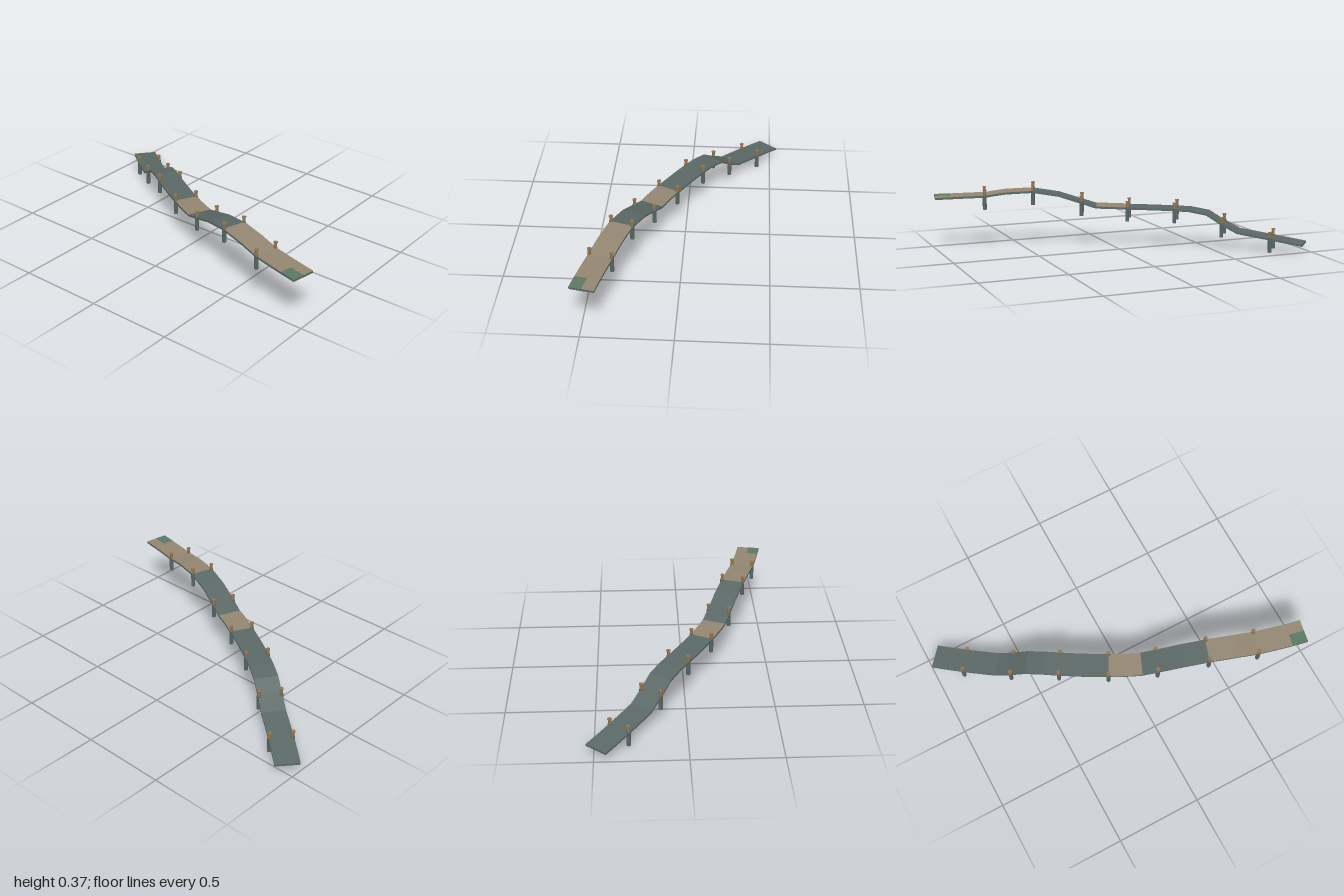
import * as THREE from 'three';

const material = (name, color) => {
  const m = new THREE.MeshStandardMaterial({ color });
  m.name = name;
  return m;
};

const HALF = 0.069; // half the deck width
const START = 0.985, END = -0.957;

// Deck height along the walkway: [z, y of the top]
const heights = [
  [START, 0.312], [0.70, 0.318], [0.58, 0.335], [0.425, 0.342], [0.28, 0.318],
  [0.072, 0.247], [-0.1, 0.243], [-0.345, 0.24], [-0.42, 0.237],
  [-0.505, 0.22], [-0.58, 0.165], [-0.655, 0.118], [END, 0.063],
];

function deckY(z) {
  for (let i = 1; i < heights.length; i++) {
    const [za, ya] = heights[i - 1], [zb, yb] = heights[i];
    if (z >= zb) return ya + (yb - ya) * (za - z) / (za - zb);
  }
  return heights[heights.length - 1][1];
}

// Bending centre line in plan
const deckX = z => -0.16 - 0.502 * z + 0.183 * z * z + (z > 0 ? 0.055 * z * (0.975 - z) : 0);

// Point on the walkway: z along it, side across it, lift above the deck top
function place(z, side, lift) {
  const slope = (deckX(z + 0.01) - deckX(z - 0.01)) / 0.02;
  const len = Math.hypot(1, slope);
  return new THREE.Vector3(deckX(z) + side / len, deckY(z) + lift, z - side * slope / len);
}

// Stations between two z values, including every change of slope
function stations(z0, z1) {
  const zs = [z0, ...heights.map(h => h[0]).filter(z => z < z0 - 1e-4 && z > z1 + 1e-4), z1];
  const out = [z0];
  for (let i = 1; i < zs.length; i++) {
    const n = Math.ceil((zs[i - 1] - zs[i]) / 0.06);
    for (let k = 1; k <= n; k++) out.push(zs[i - 1] + (zs[i] - zs[i - 1]) * k / n);
  }
  return out;
}

// Sweep a rectangle along the walkway
function strip(z0, z1, left, right, bottom, top) {
  const rings = stations(z0, z1).map(z => [
    place(z, left, top), place(z, right, top), place(z, right, bottom), place(z, left, bottom),
  ]);
  const pos = [];
  const quad = (a, b, c, d) => [a, b, c, a, c, d].forEach(p => pos.push(p.x, p.y, p.z));
  for (let i = 1; i < rings.length; i++) {
    const p = rings[i - 1], q = rings[i];
    for (let k = 0; k < 4; k++) {
      const n = (k + 1) % 4;
      quad(p[k], p[n], q[n], q[k]);
    }
  }
  const first = rings[0], last = rings[rings.length - 1];
  quad(first[3], first[2], first[1], first[0]);
  quad(last[0], last[1], last[2], last[3]);
  const g = new THREE.BufferGeometry();
  g.setAttribute('position', new THREE.Float32BufferAttribute(pos, 3));
  g.computeVertexNormals();
  return g;
}

export function createModel() {
  const slate = material('slate', 0x5a6866);
  const tan = material('tan', 0x938672);
  const green = material('mossGreen', 0x5c7763);
  const postGrey = material('postGrey', 0x566662);
  const brown = material('brown', 0x92744f);

  const model = new THREE.Group();
  model.name = 'walkway';
  const add = (name, geometry, mat, parent = model) => {
    const mesh = new THREE.Mesh(geometry, mat);
    mesh.name = name;
    parent.add(mesh);
    return mesh;
  };

  // Deck, tan paving and the corner patch
  add('deck', strip(START, END, -HALF, HALF, -0.012, 0), slate);
  add('startPaving', strip(START, 0.425, -HALF, HALF, 0, 0.0015), tan);
  add('middlePaving', strip(0.072, -0.1, -HALF, HALF, 0, 0.0015), tan);
  add('cornerPatch', strip(START, 0.895, -HALF, 0, 0.0015, 0.0025), green);

  // Posts in pairs: shaft below the deck, slimmer post and cap above
  const shaft = new THREE.CylinderGeometry(0.012, 0.012, 0.085, 8).toNonIndexed();
  const upper = new THREE.CylinderGeometry(0.009, 0.009, 0.03, 8).toNonIndexed();
  const cap = new THREE.CylinderGeometry(0.012, 0.012, 0.007, 8).toNonIndexed();
  [shaft, upper, cap].forEach(g => g.computeVertexNormals());

  for (const z of [0.70, 0.425, 0.153, -0.1, -0.345, -0.58, -0.81]) {
    for (const side of [-1, 1]) {
      const post = new THREE.Group();
      post.name = side < 0 ? 'rightPost' : 'leftPost';
      post.position.copy(place(z, side * 0.0635, 0));
      add('postShaft', shaft, postGrey, post).position.y = -0.0405;
      add('postTop', upper, brown, post).position.y = 0.016;
      add('postCap', cap, brown, post).position.y = 0.0335;
      model.add(post);
    }
  }
  return model;
}
